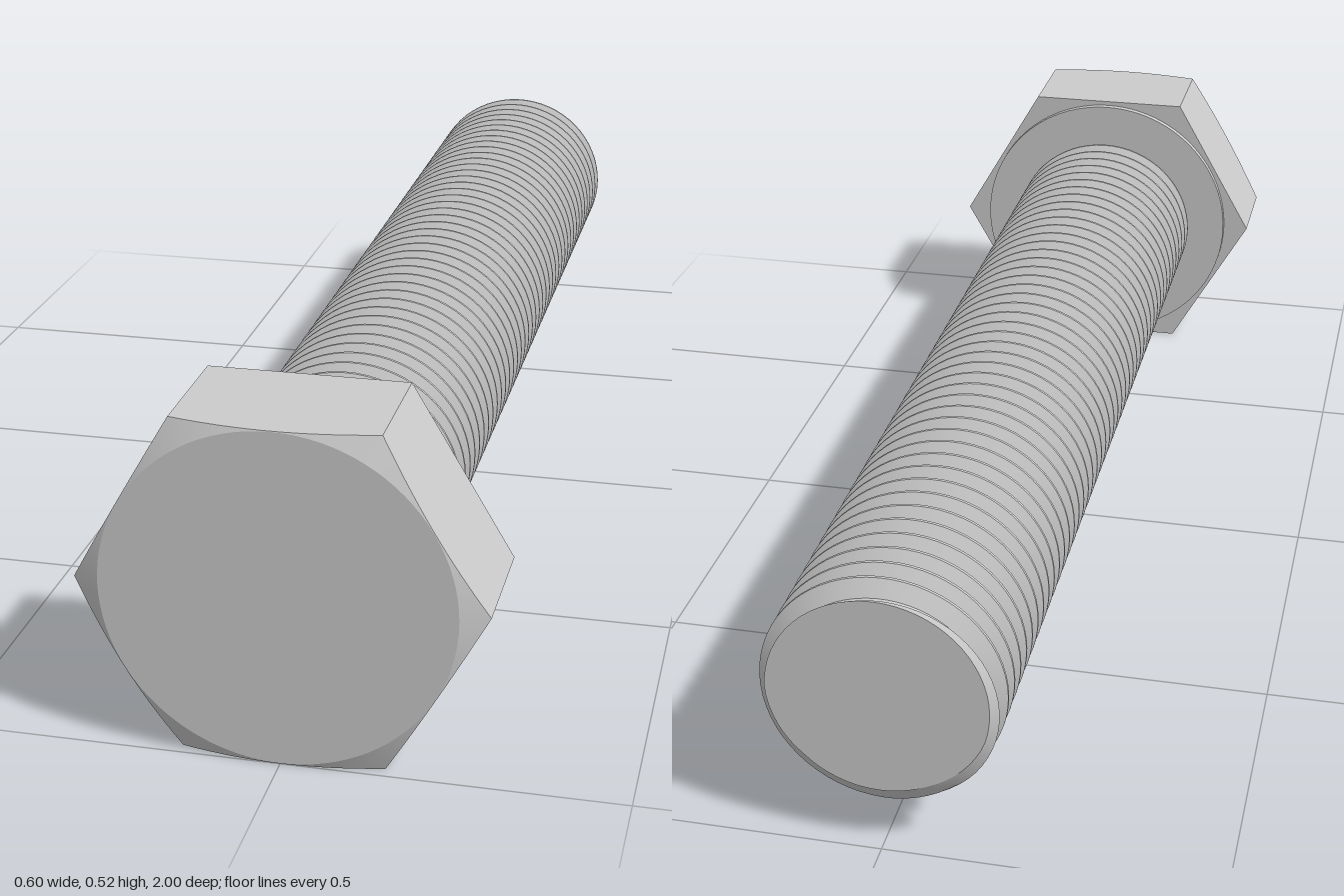
import * as THREE from 'three';
import { toCreasedNormals } from 'three/addons/utils/BufferGeometryUtils.js';

const AXIS_Y = 0.258;   // height of the bolt's axis, also half the width across flats
const HEAD_BACK = 0.8, WASHER_BACK = 0.787;
const ROOT = 0.153, CREST = 0.178, PITCH = 0.04;

// Skin rings running from +z to -z; point(j, theta) returns [radius, z]
function loft(rings, sides, point, crease) {
  const pos = [], index = [];
  for (let j = 0; j < rings; j++) {
    for (let i = 0; i <= sides; i++) {
      const theta = (i / sides) * Math.PI * 2;
      const [r, z] = point(j, theta);
      pos.push(r * Math.cos(theta), r * Math.sin(theta), z);
      if (j < rings - 1 && i < sides) {
        const a = j * (sides + 1) + i, b = a + 1, d = a + sides + 1, c = d + 1;
        index.push(a, d, b, b, d, c);
      }
    }
  }
  const g = new THREE.BufferGeometry();
  g.setAttribute('position', new THREE.Float32BufferAttribute(pos, 3));
  g.setIndex(index);
  return toCreasedNormals(g, crease);
}

// Hexagonal head with its front corners turned off by a shallow cone
function headGeometry() {
  const hexRadius = (theta) => {
    const sector = Math.PI / 3;
    return AXIS_Y / Math.cos((theta % sector) - sector / 2);
  };
  return loft(5, 96, (j, theta) => {
    const r = hexRadius(theta);
    return [
      [0, 1],
      [AXIS_Y - 0.001, 1],
      [r, 1 - (r - AXIS_Y + 0.001) * 0.45],
      [r, HEAD_BACK],
      [0, HEAD_BACK],
    ][j];
  }, 0.15);
}

// Thread radius over one pitch: crest flat, flank, root flat, flank
function threadRadius(phase) {
  const t = Math.abs(phase - Math.floor(phase) - 0.5) * 2; // 1 at crest, 0 at root
  const k = THREE.MathUtils.clamp((t - 0.2) / 0.68, 0, 1);
  return ROOT + (CREST - ROOT) * k;
}

// Right-handed helical thread, chamfered and closed at the tip
function shankGeometry() {
  const top = WASHER_BACK + 0.002, length = top + 1;
  const stops = [0.06, 0.4, 0.6, 0.94]; // corners of the thread profile
  const turns = Math.ceil(length / PITCH) + 1;
  const rings = turns * stops.length + 1;
  return loft(rings, 64, (j, theta) => {
    if (j === rings - 1) return [0, -1];
    const s = (Math.floor(j / 4) + stops[j % 4]) * PITCH;
    const lead = (PITCH * theta) / (Math.PI * 2);
    const z = THREE.MathUtils.clamp(top - s + lead, -1, top);
    const r = threadRadius((top - z + lead) / PITCH);
    return [Math.min(r, 0.162 + (z + 1)), z];
  }, 0.5);
}

export function createModel() {
  const bolt = new THREE.Group();
  bolt.name = 'hexBolt';
  const material = new THREE.MeshStandardMaterial({ color: 0xcccccc });
  const add = (name, geometry) => {
    const mesh = new THREE.Mesh(geometry, material);
    mesh.name = name;
    mesh.position.y = AXIS_Y;
    bolt.add(mesh);
    return mesh;
  };

  add('hexHead', headGeometry());

  // Thin round bearing face under the head
  const washer = new THREE.CylinderGeometry(0.25, 0.25, HEAD_BACK - WASHER_BACK + 0.01, 96);
  washer.rotateX(Math.PI / 2);
  add('washerFace', washer).position.z = (HEAD_BACK + WASHER_BACK + 0.01) / 2;

  add('threadedShank', shankGeometry());
  return bolt;
}
